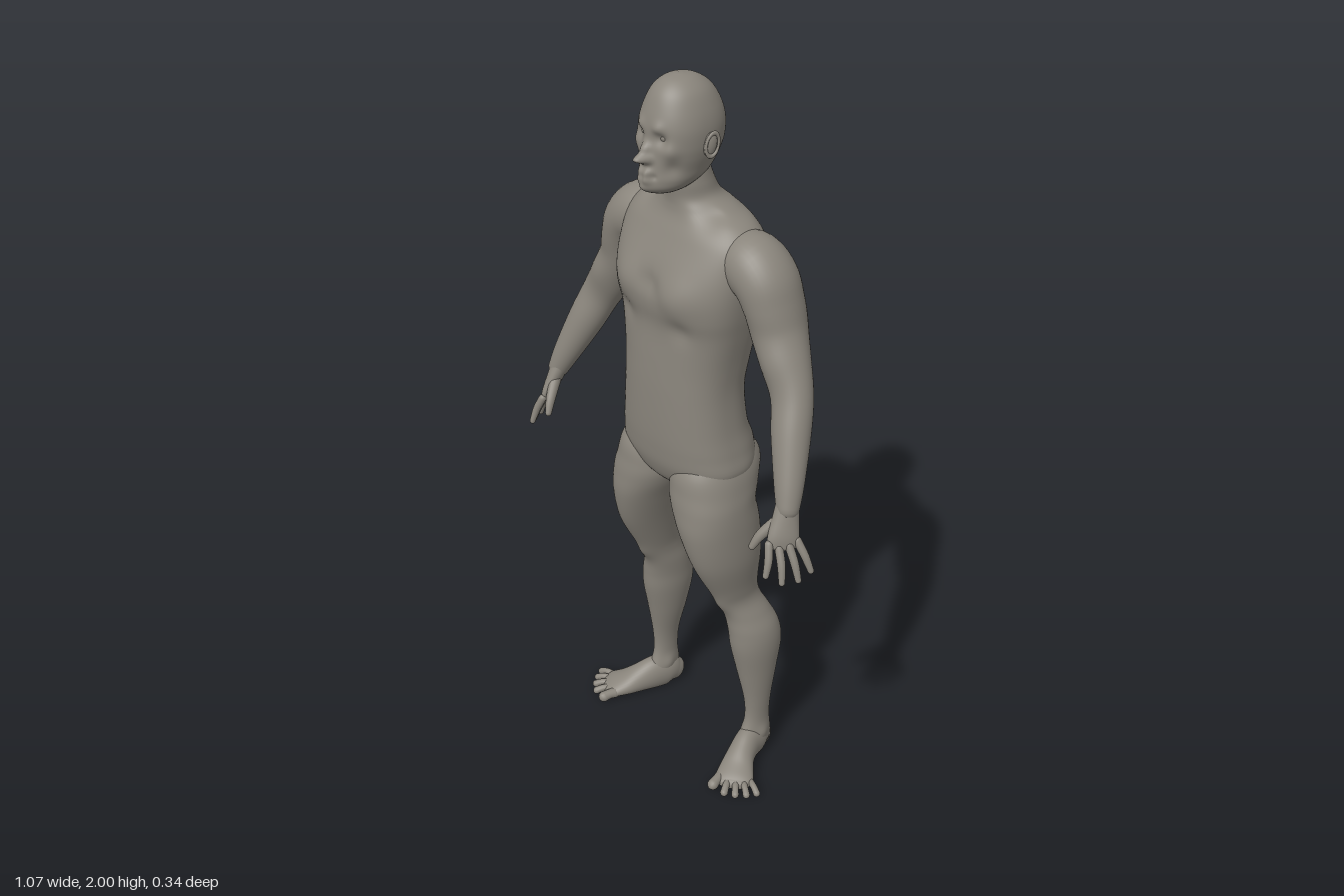
import * as THREE from 'three';

const skin = new THREE.MeshStandardMaterial({ color: 0x8a857c });
skin.name = 'warm grey skin';

// Catmull-Rom interpolation of rows of numbers, n steps per span
function smooth(rows, n) {
  const out = [], last = rows.length - 1;
  for (let i = 0; i < last; i++) {
    const a = rows[Math.max(i - 1, 0)], b = rows[i], c = rows[i + 1], d = rows[Math.min(i + 2, last)];
    for (let k = 0; k < n; k++) {
      const t = k / n;
      out.push(b.map((v, j) => {
        const cubic = 3 * (v - c[j]) + d[j] - a[j];
        const square = 2 * a[j] - 5 * v + 4 * c[j] - d[j];
        return v + 0.5 * t * (c[j] - a[j] + t * (square + t * cubic));
      }));
    }
  }
  out.push(rows[last]);
  return out;
}

// Closed skin over rings of points, with both ends capped
function loft(rings) {
  const m = rings[0].length, pos = [], idx = [];
  rings.forEach(r => r.forEach(p => pos.push(p.x, p.y, p.z)));
  for (let i = 0; i < rings.length - 1; i++) {
    for (let j = 0; j < m; j++) {
      const a = i * m + j, b = i * m + (j + 1) % m;
      idx.push(a, b, a + m, b, b + m, a + m);
    }
  }
  for (const [ring, start, end] of [[rings[0], 0, false], [rings.at(-1), (rings.length - 1) * m, true]]) {
    const c = ring.reduce((s, p) => s.add(p), new THREE.Vector3()).divideScalar(m);
    const k = pos.length / 3;
    pos.push(c.x, c.y, c.z);
    for (let j = 0; j < m; j++) {
      const a = start + j, b = start + (j + 1) % m;
      if (end) idx.push(a, b, k); else idx.push(b, a, k);
    }
  }
  const g = new THREE.BufferGeometry();
  g.setAttribute('position', new THREE.Float32BufferAttribute(pos, 3));
  g.setIndex(idx);
  g.computeVertexNormals();
  return g;
}

// Level sections listed top down: [y, xMin, xMax, zFront, zBack, squareness]
function levelLoft(rows, steps, segs) {
  const bend = (v, n) => Math.sign(v) * Math.abs(v) ** (2 / n);
  return loft(smooth(rows, steps).map(([y, x0, x1, zf, zb, n]) =>
    Array.from({ length: segs }, (_, j) => {
      const a = j / segs * Math.PI * 2;
      return new THREE.Vector3((x0 + x1) / 2 + (x1 - x0) / 2 * bend(Math.cos(a), n), y,
        (zf + zb) / 2 + (zf - zb) / 2 * bend(Math.sin(a), n));
    })));
}

// Rounded limb along a path: [x, y, z, radius along ref, radius across]
function limb(rows, ref, segs = 24, steps = 5) {
  const s = smooth(rows, steps), rings = [];
  const at = i => new THREE.Vector3(...s[i].slice(0, 3));
  const ring = (i, angle, dir) => {
    const T = at(Math.min(i + 1, s.length - 1)).sub(at(Math.max(i - 1, 0))).normalize();
    const A = ref.clone().addScaledVector(T, -ref.dot(T)).normalize();
    const B = T.clone().cross(A), [, , , ra, rb] = s[i];
    const c = at(i).addScaledVector(T, dir * Math.min(ra, rb) * Math.sin(angle)), k = Math.cos(angle);
    rings.push(Array.from({ length: segs }, (_, j) => {
      const t = j / segs * Math.PI * 2;
      return c.clone().addScaledVector(A, ra * k * Math.cos(t)).addScaledVector(B, rb * k * Math.sin(t));
    }));
  };
  for (let k = 4; k > 0; k--) ring(0, k * 0.37, -1);
  s.forEach((_, i) => ring(i, 0, 0));
  for (let k = 1; k < 5; k++) ring(s.length - 1, k * 0.37, 1);
  return loft(rings);
}

// Soft pushes: [x, y, z, radius, dx, dy, dz], repeated on the other side when x is not 0
function sculpt(g, bumps) {
  const p = g.attributes.position, v = new THREE.Vector3();
  const all = bumps.flatMap(b => b[0] ? [b, [-b[0], b[1], b[2], b[3], -b[4], b[5], b[6]]] : [b]);
  for (let i = 0; i < p.count; i++) {
    v.fromBufferAttribute(p, i);
    const o = v.clone();
    for (const [x, y, z, r, dx, dy, dz] of all) {
      const w = Math.exp(-((o.x - x) ** 2 + (o.y - y) ** 2 + (o.z - z) ** 2) / (r * r));
      v.x += dx * w; v.y += dy * w; v.z += dz * w;
    }
    p.setXYZ(i, v.x, v.y, v.z);
  }
  g.computeVertexNormals();
  return g;
}

function mirrored(g) {
  const m = g.clone().scale(-1, 1, 1), ix = m.index.array;
  for (let i = 0; i < ix.length; i += 3) [ix[i], ix[i + 1]] = [ix[i + 1], ix[i]];
  m.computeVertexNormals();
  return m;
}

export function createModel() {
  const model = new THREE.Group();
  model.name = 'standing figure';
  const add = (name, g) => {
    const mesh = new THREE.Mesh(g, skin);
    mesh.name = name;
    model.add(mesh);
  };
  const pair = (name, g) => { add('left ' + name, g); add('right ' + name, mirrored(g)); };
  const V = (x, y, z) => new THREE.Vector3(x, y, z);
  const sym = rows => rows.map(([y, w, ...rest]) => [y, -w, w, ...rest]);

  // Neck and torso
  const torso = levelLoft(sym([
    [1.79, 0.056, 0.055, -0.05, 2], [1.74, 0.063, 0.055, -0.068, 2], [1.70, 0.074, 0.05, -0.088, 2],
    [1.675, 0.122, 0.05, -0.112, 2], [1.65, 0.178, 0.056, -0.128, 2.1], [1.61, 0.212, 0.075, -0.14, 2.3],
    [1.55, 0.214, 0.102, -0.146, 2.5], [1.49, 0.21, 0.118, -0.146, 2.6], [1.43, 0.203, 0.12, -0.142, 2.6],
    [1.37, 0.192, 0.116, -0.137, 2.5], [1.28, 0.176, 0.122, -0.128, 2.4], [1.2, 0.17, 0.126, -0.114, 2.4],
    [1.1, 0.178, 0.127, -0.12, 2.4], [1.03, 0.19, 0.124, -0.136, 2.4], [0.97, 0.196, 0.115, -0.132, 2.3],
    [0.92, 0.15, 0.09, -0.09, 2], [0.885, 0.05, 0.03, -0.03, 2]]), 6, 80);
  const spine = [1.05, 1.13, 1.21, 1.29, 1.37, 1.45, 1.53, 1.61].map(y => [0, y, -0.135, 0.045, 0, 0, 0.014]);
  sculpt(torso, [...spine,
    [0.09, 1.475, 0.12, 0.065, 0, 0, 0.017], [0, 1.49, 0.12, 0.03, 0, 0, -0.012],
    [0.1, 1.39, 0.11, 0.03, 0, 0, -0.008], [0.11, 1.54, -0.14, 0.06, 0, 0, -0.014],
    [0.06, 1.22, -0.12, 0.06, 0, 0, -0.006], [0.1, 1.0, -0.13, 0.05, 0, 0, -0.012],
    [0, 0.98, -0.14, 0.035, 0, 0, 0.025], [0.11, 1.68, 0.02, 0.035, 0, 0, -0.02]]);
  add('torso', torso);

  // Head with brow, sockets, nose, lips and chin
  const head = levelLoft(sym([
    [2.0, 0.008, 0.03, 0.012, 2], [1.992, 0.036, 0.062, -0.025, 2], [1.968, 0.064, 0.09, -0.06, 2],
    [1.93, 0.082, 0.108, -0.083, 2.1], [1.89, 0.091, 0.118, -0.092, 2.2], [1.85, 0.091, 0.12, -0.09, 2.2],
    [1.82, 0.086, 0.123, -0.083, 2.1], [1.79, 0.077, 0.127, -0.072, 2], [1.765, 0.069, 0.13, -0.05, 2],
    [1.745, 0.056, 0.127, -0.015, 2], [1.73, 0.036, 0.112, 0.015, 2], [1.724, 0.014, 0.09, 0.045, 2]]), 8, 112);
  sculpt(head, [
    [0, 1.822, 0.125, 0.014, 0, 0, 0.036], [0, 1.845, 0.124, 0.013, 0, 0, 0.018],
    [0.012, 1.819, 0.123, 0.009, 0, 0, 0.012], [0.034, 1.87, 0.11, 0.017, 0, 0, -0.013],
    [0.03, 1.892, 0.112, 0.016, 0, 0, 0.007], [0.055, 1.842, 0.095, 0.02, 0.004, 0, 0.005],
    [0.012, 1.786, 0.127, 0.012, 0, 0, 0.011], [0.012, 1.768, 0.127, 0.011, 0, 0, 0.009],
    [0, 1.777, 0.14, 0.007, 0, 0, -0.006], [0.024, 1.777, 0.122, 0.008, 0, 0, -0.005],
    [0, 1.745, 0.127, 0.02, 0, 0, 0.012], [0.055, 1.80, 0.09, 0.02, -0.005, 0, -0.003]]);
  add('head', head);

  pair('eye', new THREE.SphereGeometry(0.0115, 20, 14).translate(0.034, 1.871, 0.094));
  const ear = new THREE.SphereGeometry(1, 20, 16).scale(0.009, 0.03, 0.017);
  pair('ear', ear.rotateX(-0.2).rotateY(-0.25).translate(0.094, 1.85, 0.008));
  const rim = new THREE.TorusGeometry(0.019, 0.004, 8, 28).scale(0.85, 1.5, 1).rotateY(Math.PI / 2);
  pair('ear rim', rim.rotateX(-0.2).rotateY(-0.25).translate(0.1, 1.85, 0.006));

  // Arms, shoulder to wrist
  const arm = limb([
    [0.13, 1.575, -0.035, 0.065, 0.06], [0.195, 1.57, -0.037, 0.082, 0.08], [0.243, 1.54, -0.04, 0.085, 0.074],
    [0.27, 1.485, -0.042, 0.08, 0.066], [0.29, 1.42, -0.042, 0.07, 0.065], [0.328, 1.35, -0.034, 0.06, 0.062],
    [0.367, 1.28, -0.018, 0.051, 0.055], [0.398, 1.2, 0.012, 0.048, 0.05], [0.436, 1.1, 0.05, 0.038, 0.038],
    [0.455, 1.045, 0.07, 0.03, 0.029]], V(0, 0, 1), 40);
  sculpt(arm, [[0.33, 1.37, 0.03, 0.05, 0, 0, 0.008], [0.30, 1.43, -0.11, 0.06, 0, 0, -0.008]]);
  pair('arm', arm);

  // Hands
  const across = V(0.5, 0, -0.86);
  pair('palm', limb([
    [0.449, 1.065, 0.063, 0.028, 0.026], [0.459, 1.02, 0.08, 0.034, 0.022],
    [0.469, 0.98, 0.095, 0.04, 0.017], [0.474, 0.957, 0.101, 0.039, 0.012]], across));
  [['index finger', 0.456, 0.965, 0.131, 0.474, 0.893, 0.156], ['middle finger', 0.471, 0.957, 0.112, 0.504, 0.876, 0.13],
    ['ring finger', 0.484, 0.96, 0.091, 0.522, 0.876, 0.092], ['little finger', 0.491, 0.968, 0.07, 0.529, 0.892, 0.057],
  ].forEach(([name, x, y, z, tx, ty, tz]) => pair(name, limb([
    [x, y, z, 0.011, 0.011], [(x + tx) / 2 + 0.004, (y + ty) / 2, (z + tz) / 2, 0.0105, 0.0105],
    [tx, ty, tz, 0.008, 0.008]], across, 14, 4)));
  pair('thumb', limb([
    [0.448, 1.015, 0.09, 0.018, 0.016], [0.424, 0.977, 0.126, 0.014, 0.013],
    [0.412, 0.943, 0.145, 0.009, 0.009]], across, 16, 4));

  // Legs, hip to ankle
  const leg = levelLoft([
    [1.05, 0.04, 0.165, 0.06, -0.09, 2], [0.98, 0.008, 0.196, 0.108, -0.132, 2.1], [0.92, 0.005, 0.209, 0.119, -0.122, 2.2],
    [0.87, 0.02, 0.217, 0.124, -0.106, 2.2], [0.8, 0.05, 0.221, 0.123, -0.116, 2.1], [0.7, 0.085, 0.219, 0.098, -0.118, 2],
    [0.6, 0.112, 0.203, 0.047, -0.11, 2], [0.55, 0.12, 0.201, 0.018, -0.116, 2.1], [0.5, 0.12, 0.221, -0.001, -0.14, 2.1],
    [0.45, 0.123, 0.241, -0.007, -0.162, 2], [0.39, 0.128, 0.247, -0.012, -0.171, 2], [0.3, 0.145, 0.24, -0.03, -0.155, 2],
    [0.2, 0.168, 0.231, -0.048, -0.136, 2], [0.13, 0.174, 0.227, -0.05, -0.132, 2], [0.075, 0.17, 0.231, -0.032, -0.137, 2],
    [0.04, 0.172, 0.233, -0.025, -0.135, 2]], 6, 56);
  sculpt(leg, [[0.105, 0.985, -0.13, 0.055, 0, 0, -0.014], [0.165, 0.555, 0.015, 0.03, 0, 0, 0.008],
    [0.17, 0.09, -0.08, 0.02, -0.005, 0, 0], [0.23, 0.08, -0.09, 0.02, 0.005, 0, 0]]);
  pair('leg', leg);

  // Feet and toes, flattened against the ground
  const up = V(0, 1, 0);
  const grounded = g => {
    const p = g.attributes.position;
    for (let i = 0; i < p.count; i++) p.setY(i, Math.max(p.getY(i), 0));
    g.computeVertexNormals();
    return g;
  };
  pair('foot', grounded(limb([
    [0.192, 0.035, -0.118, 0.038, 0.028], [0.198, 0.045, -0.09, 0.055, 0.036], [0.208, 0.045, -0.05, 0.055, 0.037],
    [0.225, 0.036, -0.01, 0.044, 0.04], [0.246, 0.025, 0.025, 0.032, 0.048], [0.268, 0.018, 0.055, 0.022, 0.054],
    [0.278, 0.014, 0.068, 0.016, 0.048]], up, 36)));
  [['big toe', 0.237, 0.08, 0.245, 0.114, 0.016], ['second toe', 0.264, 0.075, 0.286, 0.109, 0.011],
    ['third toe', 0.283, 0.063, 0.312, 0.091, 0.0105], ['fourth toe', 0.299, 0.048, 0.333, 0.068, 0.01],
    ['little toe', 0.309, 0.03, 0.347, 0.042, 0.01],
  ].forEach(([name, x, z, tx, tz, r]) => pair(name, grounded(limb([
    [x, 0.017, z, r, r], [(x + tx) / 2, 0.018, (z + tz) / 2, r * 0.9, r * 0.9],
    [tx, r * 0.95, tz, r, r]], up, 14, 4))));

  return model;
}
